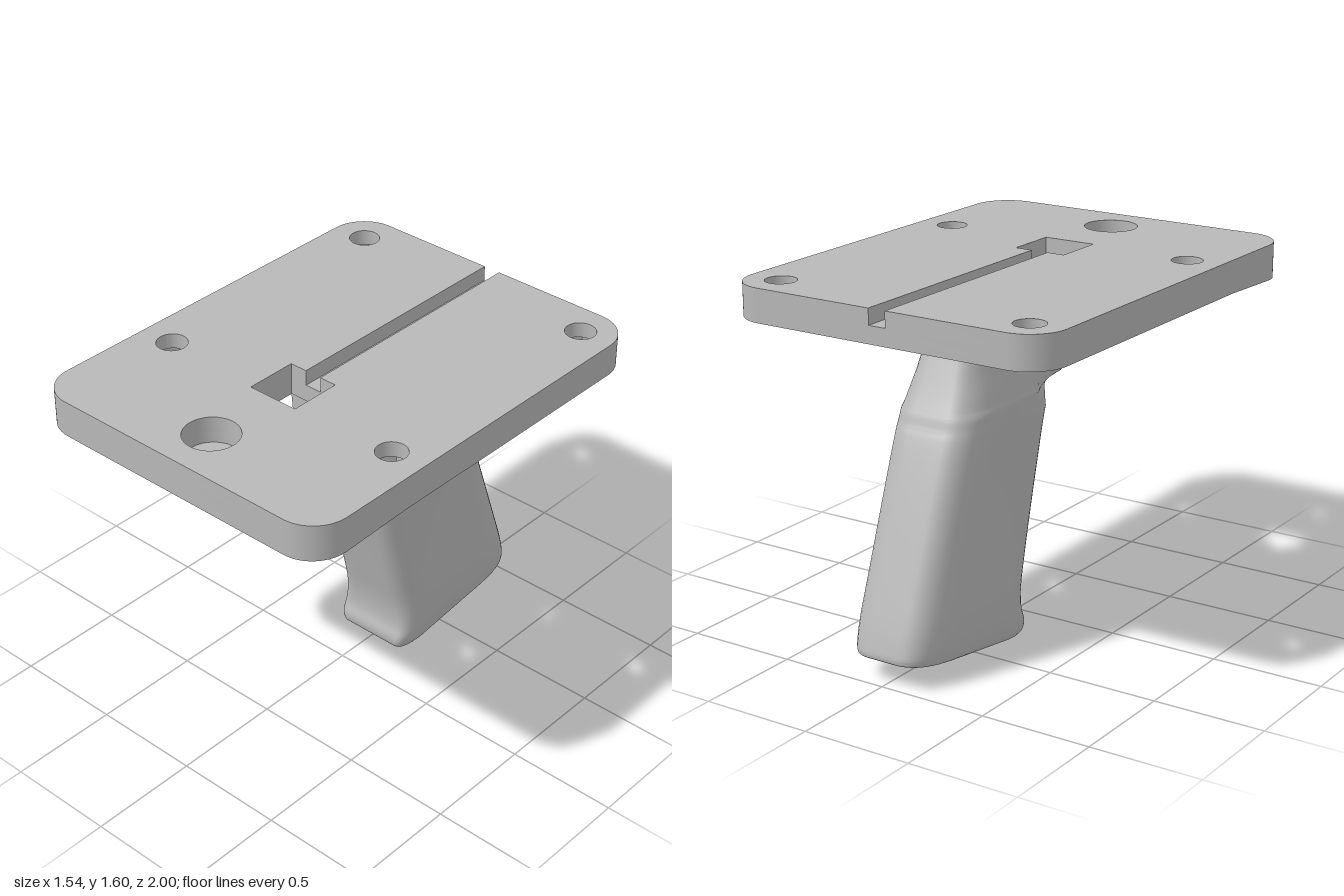
import * as THREE from 'three';
import { toCreasedNormals } from 'three/addons/utils/BufferGeometryUtils.js';

const TOP = 1.6, STEP = 1.53, LEDGE = 1.48, BASE = 1.453; // plate levels
const HALF = 0.77, FRONT = 1.0, BACK = -0.985, R = 0.17;
const BOLTS = [[-0.608, -0.825], [0.608, -0.825], [-0.608, 0.39], [0.608, 0.39]];

// Plan shapes are drawn as (x, -z)
function outline(back, roundBack, slot) {
  const s = new THREE.Shape();
  const f = -FRONT, b = -back, r = roundBack ? R : 0;
  s.moveTo(-HALF + R, f);
  s.lineTo(HALF - R, f);
  s.absarc(HALF - R, f + R, R, -Math.PI / 2, 0, false);
  s.lineTo(HALF, b - r);
  if (r) s.absarc(HALF - r, b - r, r, 0, Math.PI / 2, false);
  if (slot) { // groove running from the back edge into the square window
    [[0.04, b], [0.04, -0.18], [0.122, -0.18], [0.122, -0.42],
      [-0.122, -0.42], [-0.122, -0.18], [-0.04, -0.18], [-0.04, b]].forEach(([x, y]) => s.lineTo(x, y));
  }
  s.lineTo(-HALF + r, b);
  if (r) s.absarc(-HALF + r, b - r, r, Math.PI / 2, Math.PI, false);
  s.lineTo(-HALF, f + R);
  s.absarc(-HALF + R, f + R, R, Math.PI, Math.PI * 1.5, false);
  return s;
}

function cut(shape, x, z, r, sides = 40) {
  const pts = [];
  for (let i = 0; i < sides; i++) {
    const a = -i / sides * Math.PI * 2;
    pts.push(new THREE.Vector2(x + r * Math.cos(a), -z + r * Math.sin(a)));
  }
  shape.holes.push(new THREE.Path(pts));
}

function cutWindow(shape) {
  shape.holes.push(new THREE.Path([[-0.122, -0.42], [-0.122, -0.18], [0.122, -0.18], [0.122, -0.42]]
    .map(([x, y]) => new THREE.Vector2(x, y))));
}

function slab(shape, y0, y1) {
  const g = new THREE.ExtrudeGeometry(shape, { depth: y1 - y0, bevelEnabled: false, curveSegments: 12 });
  return g.rotateX(-Math.PI / 2).translate(0, y0, 0);
}

// One closed grip section between a front point and a back point
function section([zf, yf, a, zb, yb, w, t, b = w * 0.35]) {
  const V = (u, x) => new THREE.Vector2(u, x);
  const cf = 0.35 - 0.15 * t;
  const frontCorner = new THREE.QuadraticBezierCurve(V(0, a), V(0.2 * (1 - t), a + (w - a) * t), V(cf, w));
  const backCorner = new THREE.QuadraticBezierCurve(V(0.7, w), V(1, w), V(1, b));
  const half = [...frontCorner.getPoints(9), V(cf + (0.7 - cf) / 2, w), ...backCorner.getPoints(9)];
  const all = [...half, ...half.map(p => V(p.x, -p.y)).reverse()];
  return all.map(p => [p.y, yf + (yb - yf) * p.x, zf + (zb - zf) * p.x]);
}

function loft(rings) {
  const n = rings[0].length, index = [];
  for (let i = 0; i < rings.length - 1; i++) {
    for (let j = 0; j < n; j++) {
      const A = i * n + j, B = i * n + (j + 1) % n;
      index.push(A, A + n, B, B, A + n, B + n);
    }
  }
  const g = new THREE.BufferGeometry();
  g.setAttribute('position', new THREE.Float32BufferAttribute(rings.flat(2), 3));
  g.setIndex(index);
  return g;
}

function gripGeometry() {
  // front z, front y, front half width, back z, back y, half width, corner fullness
  const keys = [
    [0.14, 1.453, 0.165, -0.505, 1.453, 0.165, 0],
    [0.14, 1.35, 0.155, -0.53, 1.36, 0.158, 0],
    [0.14, 1.25, 0.148, -0.575, 1.25, 0.168, 0],
    [0.14, 1.15, 0.145, -0.62, 1.15, 0.19, 0],
    [0.14, 1.105, 0.14, -0.645, 1.10, 0.2, 0],
    [0.13, 1.095, 0.13, -0.65, 1.09, 0.203, 0.1],
    [0.06, 1.085, 0.12, -0.66, 1.07, 0.205, 0.4],
    [0.015, 1.05, 0.11, -0.675, 1.03, 0.205, 0.8],
    [-0.01, 1.0, 0.1, -0.695, 0.99, 0.205, 1],
    [-0.065, 0.8, 0.1, -0.768, 0.8, 0.204, 1],
    [-0.165, 0.4, 0.1, -0.905, 0.42, 0.206, 1],
    [-0.205, 0.22, 0.11, -0.965, 0.25, 0.208, 1],
    [-0.208, 0.12, 0.14, -0.99, 0.17, 0.205, 1],
    [-0.19, 0.06, 0.15, -1.0, 0.13, 0.2, 1],
    [-0.195, 0.02, 0.14, -0.997, 0.115, 0.195, 1],
    [-0.22, 0.003, 0.13, -0.985, 0.11, 0.185, 1],
  ];
  const curve = f => new THREE.CatmullRomCurve3(keys.map(k => new THREE.Vector3(...f(k))));
  const fronts = curve(k => k.slice(0, 3)), backs = curve(k => k.slice(3, 6));
  const rings = [], steps = (keys.length - 1) * 4;
  for (let i = 0; i <= steps; i++) {
    const s = i / steps, f = fronts.getPoint(s), b = backs.getPoint(s);
    const k = Math.min(Math.floor(i / 4), keys.length - 2);
    const t = THREE.MathUtils.lerp(keys[k][6], keys[k + 1][6], i / 4 - k);
    rings.push(section([f.x, f.y, f.z, b.x, b.y, b.z, t]));
  }
  // hollow entering from the sloped foot
  rings.push(section([-0.41, 0.0296, 0.05, -0.87, 0.0939, 0.095, 1, 0.05]));
  rings.push(section([-0.22, 0.75, 0.05, -0.68, 0.81, 0.095, 1, 0.05]));
  rings.push(section([-0.45, 0.78, 0, -0.45, 0.78, 0, 1, 0]));
  return loft(rings);
}

export function createModel() {
  const group = new THREE.Group();
  const grey = new THREE.MeshStandardMaterial({ color: 0xb8b8b8 });
  grey.name = 'plainGrey';
  const add = (name, geometry, parent = group) => {
    const m = new THREE.Mesh(geometry, grey);
    m.name = name;
    parent.add(m);
    return m;
  };

  // Mounting plate in layers: groove and bolt holes above, nut pockets below
  const plate = new THREE.Group();
  plate.name = 'mountingPlate';
  group.add(plate);

  const upper = outline(BACK, true, true);
  BOLTS.forEach(([x, z]) => cut(upper, x, z, 0.068));
  cut(upper, 0, 0.77, 0.12);
  add('plateTop', toCreasedNormals(slab(upper, STEP, TOP), 0.5), plate);

  [['plateMiddle', LEDGE, STEP, 0.12], ['plateBottom', BASE, LEDGE, 0.047]].forEach(([name, y0, y1, r]) => {
    const s = outline(BACK, true, false);
    BOLTS.forEach(([x, z]) => cut(s, x, z, 0.108, 6));
    cutWindow(s);
    cut(s, 0, 0.77, r);
    add(name, toCreasedNormals(slab(s, y0, y1), 0.5), plate);
  });

  // Shallow wedge under the front of the plate
  const wedgeShape = outline(0.5, false, false);
  cut(wedgeShape, 0, 0.77, 0.047);
  const wedge = slab(wedgeShape, -1, 0);
  const p = wedge.attributes.position;
  for (let i = 0; i < p.count; i++) {
    p.setY(i, BASE + p.getY(i) * 0.018 * (p.getZ(i) - 0.5) / 0.5);
  }
  add('frontWedge', toCreasedNormals(wedge, 0.5), plate);

  // Pair of thin tabs below the plate
  [-1, 1].forEach(side => {
    const tab = add(side > 0 ? 'leftTab' : 'rightTab', new THREE.BoxGeometry(0.18, 0.113, 0.026));
    tab.position.set(side * 0.355, 1.4015, 0.508);
  });

  // Hand grip
  add('handGrip', toCreasedNormals(gripGeometry(), 0.7));
  return group;
}
